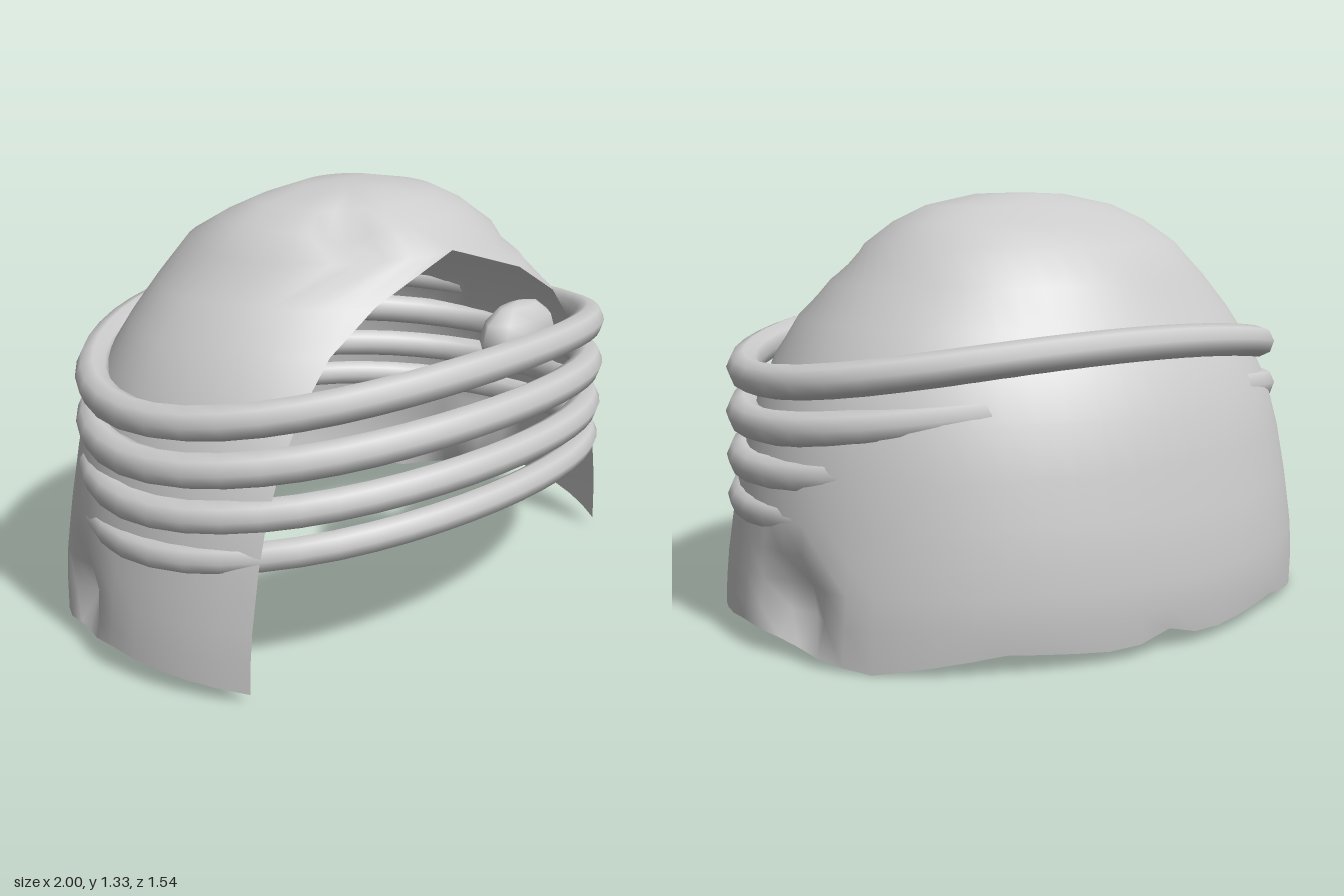
import * as THREE from 'three';
import { mergeVertices } from 'three/addons/utils/BufferGeometryUtils.js';

const material = new THREE.MeshStandardMaterial({ color: 0xcccccc, side: THREE.DoubleSide });
const FRONT = 0.46; // plane where the shell is cut open

// Linear interpolation through [key, value] stops
function ramp(stops, k) {
  for (let i = 1; i < stops.length; i++) {
    const [a, va] = stops[i - 1], [b, vb] = stops[i];
    if (k <= b) return va + (vb - va) * Math.max(0, (k - a) / (b - a));
  }
  return stops[stops.length - 1][1];
}

// Horizontal layers: [height, half width, depth to front, depth to back]
const LAYERS = [
  [0.04, 1.0, 0.87, 0.755], [0.13, 0.995, 0.87, 0.768], [0.22, 0.985, 0.87, 0.768],
  [0.31, 0.97, 0.865, 0.76], [0.4, 0.955, 0.86, 0.75], [0.55, 0.93, 0.82, 0.72],
  [0.7, 0.885, 0.767, 0.69], [0.83, 0.825, 0.71, 0.625], [0.95, 0.745, 0.65, 0.555],
  [1.06, 0.645, 0.54, 0.495], [1.17, 0.53, 0.46, 0.43], [1.24, 0.44, 0.36, 0.3],
  [1.29, 0.33, 0.28, 0.19], [1.325, 0.14, 0.19, 0.1], [1.33, 0, 0, 0],
];
// Height of the wavy hem by angle away from the back (degrees)
const HEM = [[0, 0.07], [8, 0.03], [30, 0.06], [55, 0], [90, 0.08], [122, 0.03]];
// Dents: [x, y, z, radius, push x, push y, push z]
const DENTS = [
  [0.97, 0.16, -0.2, 0.1, -0.1, 0, 0.02],
  [-0.97, 0.16, -0.2, 0.1, 0.1, 0, 0.02],
  [-0.26, 1.22, 0.28, 0.07, 0.02, -0.06, -0.05],
];

// Dome of stacked oval layers, open at the front and below
function shellGeometry() {
  const columns = 40, positions = [], index = [];
  LAYERS.forEach(([y, w, f, b], row) => {
    const start = f > FRONT ? Math.asin(FRONT / f) : Math.PI / 2;
    for (let c = 0; c <= columns; c++) {
      const angle = start - (c / columns) * (Math.PI + 2 * start);
      const s = Math.sin(angle);
      const p = [w * Math.cos(angle), y, s * (s > 0 ? f : b)];
      if (row === 0) p[1] = ramp(HEM, Math.abs(THREE.MathUtils.radToDeg(angle) + 90));
      for (const [x, dy, z, r, ...push] of DENTS) {
        const d2 = (p[0] - x) ** 2 + (p[1] - dy) ** 2 + (p[2] - z) ** 2;
        const amount = Math.exp(-d2 / (r * r));
        push.forEach((v, i) => { p[i] += v * amount; });
      }
      positions.push(...p);
      if (row && c) {
        const d = row * (columns + 1) + c, a = d - columns - 1;
        index.push(a - 1, a, d - 1, a, d, d - 1);
      }
    }
  });
  let g = new THREE.BufferGeometry();
  g.setAttribute('position', new THREE.Float32BufferAttribute(positions, 3));
  g.setIndex(index);
  g = mergeVertices(g, 1e-4); // closes the seam above the opening
  g.computeVertexNormals();
  return g;
}

// Oval hoop that rises toward the front and back
function hoopGeometry(sideY, rise, halfWidth, radius) {
  const points = [];
  for (let i = 0; i < 24; i++) {
    const t = (i / 24) * Math.PI * 2, s = Math.sin(t);
    points.push(new THREE.Vector3(halfWidth * Math.cos(t), sideY + rise * s * s, 0.055 + 0.66 * s));
  }
  return new THREE.TubeGeometry(new THREE.CatmullRomCurve3(points, true), 48, radius, 8, true);
}

export function createModel() {
  const model = new THREE.Group();
  const add = (name, geometry) => {
    const mesh = new THREE.Mesh(geometry, material);
    mesh.name = name;
    model.add(mesh);
    return mesh;
  };

  add('hoodShell', shellGeometry());

  // Four stacked hoops, top to bottom
  [[0.79, 0.105, 0.92, 0.052], [0.655, 0.085, 0.925, 0.053],
   [0.52, 0.075, 0.93, 0.05], [0.395, 0.08, 0.935, 0.046]]
    .forEach((h, i) => add(`hoop${i + 1}`, hoopGeometry(...h)));

  // Small rounded knob behind the top hoop
  const knob = add('knob', new THREE.SphereGeometry(1, 8, 6));
  knob.scale.set(0.17, 0.11, 0.075);
  knob.position.set(0.165, 0.9, 0.59);

  return model;
}
